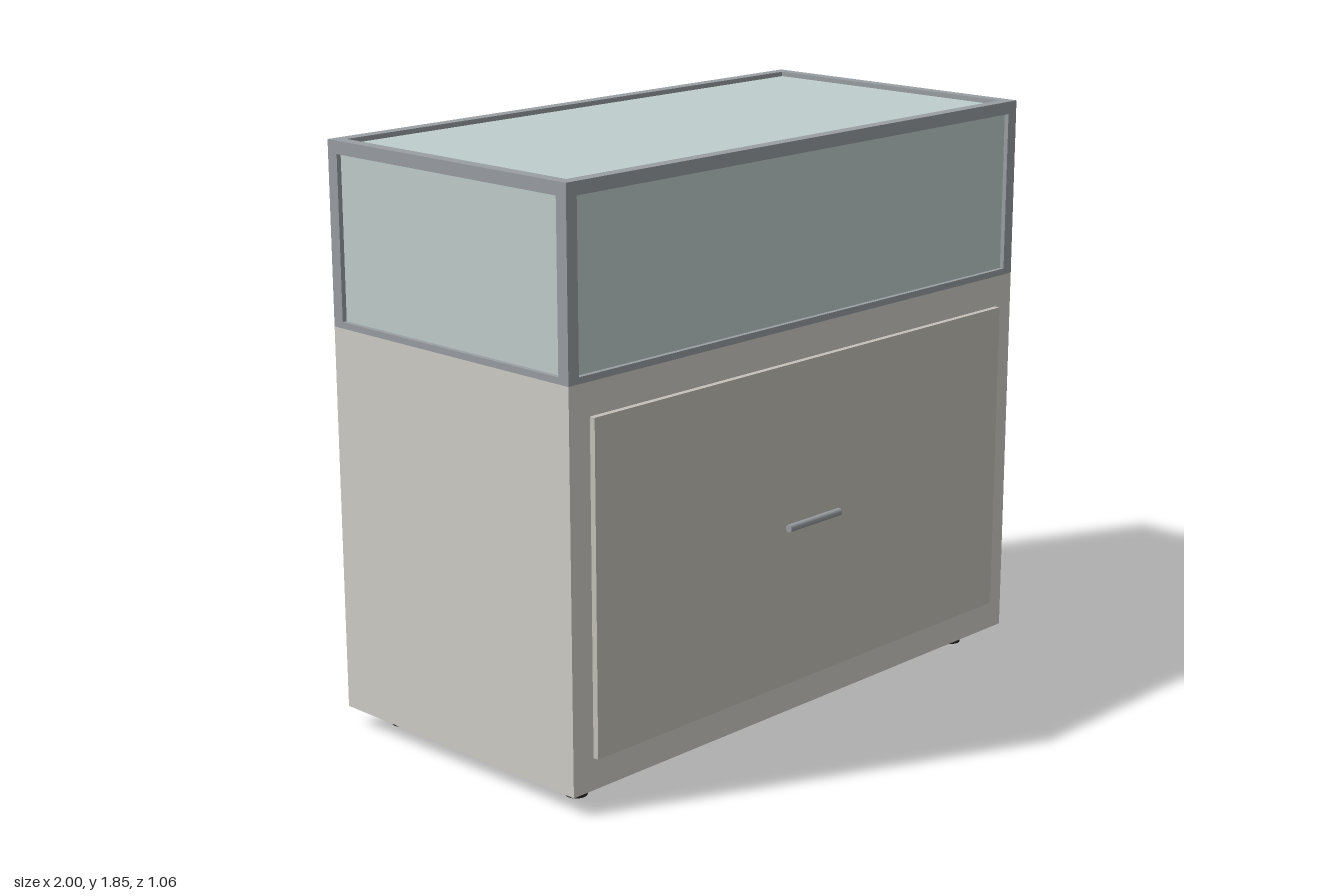
import * as THREE from 'three';

const mat = (color) => new THREE.MeshStandardMaterial({ color });

export function createModel() {
  const model = new THREE.Group();
  const cream = mat(0xd0cec8), panel = mat(0xc6c2ba), metal = mat(0x9a9fa3);
  const glass = mat(0xc0cecd), rubber = mat(0x2a2a2a);

  // Box given by its min and max corners
  function box(name, material, [x0, y0, z0], [x1, y1, z1]) {
    const mesh = new THREE.Mesh(new THREE.BoxGeometry(x1 - x0, y1 - y0, z1 - z0), material);
    mesh.position.set((x0 + x1) / 2, (y0 + y1) / 2, (z0 + z1) / 2);
    mesh.name = name;
    model.add(mesh);
  }

  const X = 1, back = -0.527, front = 0.488; // cabinet footprint
  const base = 0.06, deck = 1.28, top = 1.847; // cabinet and display heights
  const bar = 0.04, sill = 0.02; // frame bar widths
  const inset = 0.015, pane = 0.01;

  // Lower cabinet and its drawer front
  box('cabinet', cream, [-X, base, back], [X, deck, front]);
  box('drawerFront', panel, [-0.92, 0.16, front], [0.92, 1.18, 0.507]);

  // Round bar handle
  const handle = new THREE.Mesh(new THREE.CylinderGeometry(0.012, 0.012, 0.235, 20), metal);
  handle.rotation.z = Math.PI / 2;
  handle.position.set(0, 0.67, 0.518);
  handle.name = 'handle';
  model.add(handle);

  // Display frame: posts between the sill and the top rails
  for (const x of [-X, X - bar]) {
    for (const z of [back, front - bar]) {
      box('post', metal, [x, deck + sill, z], [x + bar, top - bar, z + bar]);
    }
  }
  for (const [y0, y1] of [[deck, deck + sill], [top - bar, top]]) {
    for (const z of [back, front - bar]) {
      box('longRail', metal, [-X, y0, z], [X, y1, z + bar]);
    }
    for (const x of [-X, X - bar]) {
      box('sideRail', metal, [x, y0, back + bar], [x + bar, y1, front - bar]);
    }
  }

  // Glass panes set back within the frame
  const xi = X - bar, y0 = deck + sill, y1 = top - bar, zb = back + bar, zf = front - bar;
  for (const z of [back + inset, front - inset - pane]) {
    box('longGlass', glass, [-xi, y0, z], [xi, y1, z + pane]);
  }
  for (const x of [-X + inset, X - inset - pane]) {
    box('sideGlass', glass, [x, y0, zb], [x + pane, y1, zf]);
  }
  box('topGlass', glass, [-xi, top - inset - pane, zb], [xi, top - inset, zf]);

  // Tapered feet
  for (const x of [-0.88, 0.88]) {
    for (const z of [-0.413, 0.373]) {
      const foot = new THREE.Mesh(new THREE.CylinderGeometry(0.037, 0.033, base, 20), rubber);
      foot.position.set(x, base / 2, z);
      foot.name = 'foot';
      model.add(foot);
    }
  }
  return model;
}
